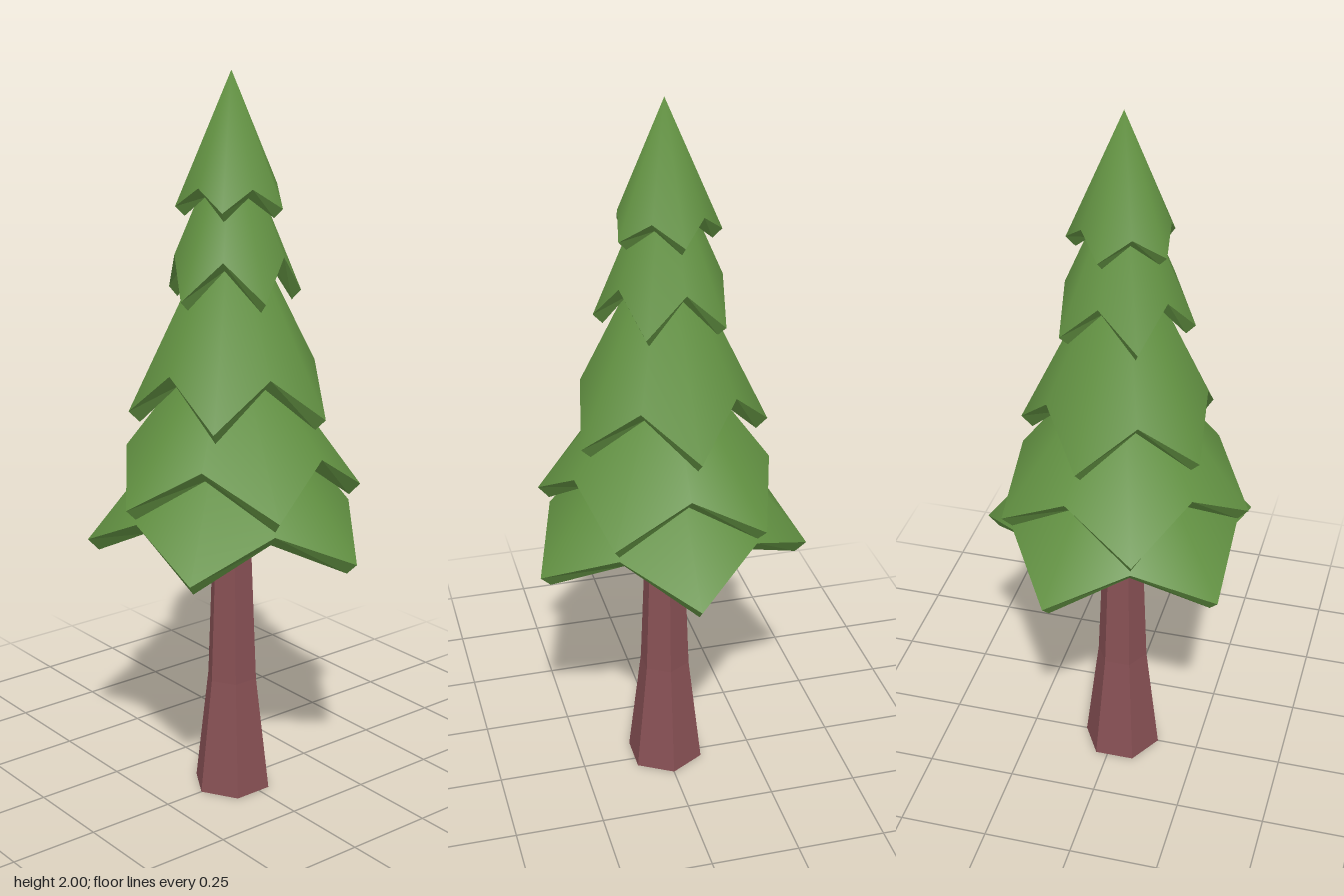
import * as THREE from 'three';
import { mergeGeometries } from 'three/addons/utils/BufferGeometryUtils.js';

const AXIS_Z = 0.021;

function surface(points, index) {
  const g = new THREE.BufferGeometry();
  g.setAttribute('position', new THREE.Float32BufferAttribute(points.flat(), 3));
  g.setIndex(index);
  return g;
}

// One skirt of needles: a five-pointed cone with a sharp lip and a hollow underside
function tierGeometry({ radius, tipY, valleyY, apexY, turn, lip = 0.03 }) {
  const n = 10, outer = [], inner = [];
  for (let i = 0; i < n; i++) {
    const a = THREE.MathUtils.degToRad(turn + i * 36);
    const isTip = i % 2 === 0;
    const r = isTip ? radius : radius * Math.cos(Math.PI / 5);
    const y = isTip ? tipY : valleyY;
    const s = Math.sin(a), c = Math.cos(a), ri = r - lip;
    outer.push([r * s, y, r * c]);
    inner.push([ri * s, y - lip, ri * c]);
  }
  const top = [], rim = [], under = [];
  for (let i = 0; i < n; i++) {
    const j = (i + 1) % n;
    top.push(n, i, j);
    rim.push(i, n + i, n + j, i, n + j, j);
    under.push(n, j, i);
  }
  const parts = [
    surface([...outer, [0, apexY, 0]], top),
    surface([...outer, ...inner], rim).toNonIndexed(),
    surface([...inner, [0, apexY - lip * 2, 0]], under),
  ];
  parts.forEach((p) => p.computeVertexNormals());
  return mergeGeometries(parts.map((p) => (p.index ? p.toNonIndexed() : p)));
}

// Six-sided trunk section with flat faces
function trunkSection(rTop, rBottom, y0, y1, open) {
  const g = new THREE.CylinderGeometry(rTop, rBottom, y1 - y0, 6, 1, open).toNonIndexed();
  g.translate(0, (y0 + y1) / 2, 0);
  g.computeVertexNormals();
  return g;
}

export function createModel() {
  const needles = new THREE.MeshStandardMaterial({ color: 0x629142 });
  needles.name = 'needle green';
  const bark = new THREE.MeshStandardMaterial({ color: 0x875054 });
  bark.name = 'bark brown';

  const tree = new THREE.Group();
  tree.name = 'pineTree';
  tree.position.z = AXIS_Z;

  // Trunk: flared foot and slim upper stem
  const trunk = new THREE.Group();
  trunk.name = 'trunk';
  const foot = new THREE.Mesh(trunkSection(0.072, 0.111, 0, 0.33, false), bark);
  foot.name = 'trunkFoot';
  const stem = new THREE.Mesh(trunkSection(0.046, 0.072, 0.33, 1.0, true), bark);
  stem.name = 'trunkStem';
  trunk.add(foot, stem);
  tree.add(trunk);

  // Foliage tiers from bottom to top, each turned against the one below
  const tiers = [
    { radius: 0.395, tipY: 0.74, valleyY: 0.845, apexY: 1.25, turn: 180 },
    { radius: 0.351, tipY: 0.89, valleyY: 1.01, apexY: 1.38, turn: 0 },
    { radius: 0.278, tipY: 1.11, valleyY: 1.235, apexY: 1.69, turn: 186 },
    { radius: 0.187, tipY: 1.425, valleyY: 1.53, apexY: 1.88, turn: 7.5, lip: 0.025 },
    { radius: 0.148, tipY: 1.655, valleyY: 1.71, apexY: 2.0, turn: 186.5, lip: 0.025 },
  ];
  tiers.forEach((t, i) => {
    const mesh = new THREE.Mesh(tierGeometry(t), needles);
    mesh.name = `foliageTier${i + 1}`;
    tree.add(mesh);
  });

  const model = new THREE.Group();
  model.name = 'model';
  model.add(tree);
  return model;
}
